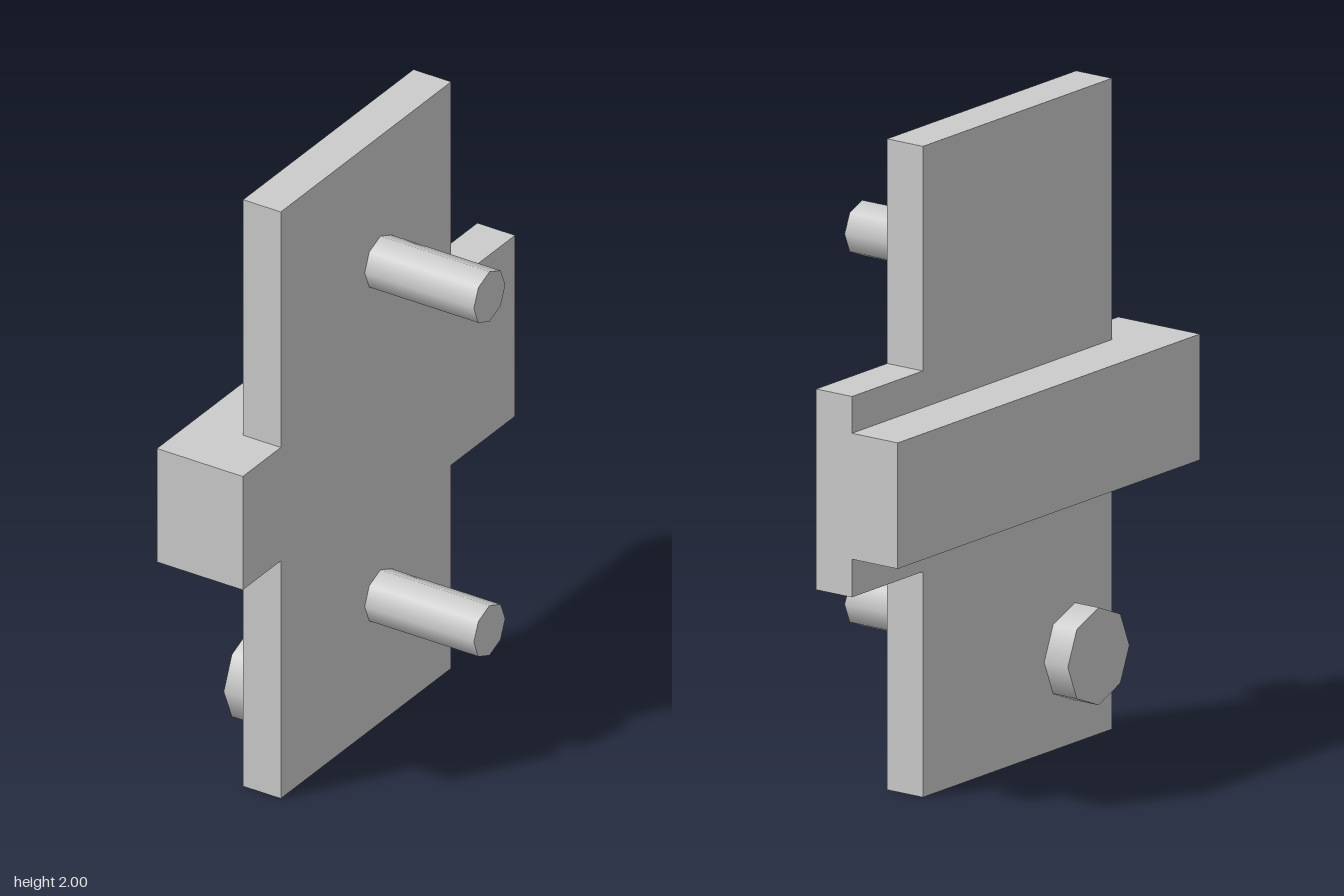
import * as THREE from 'three';

const material = new THREE.MeshStandardMaterial({ color: 0xcccccc });

function add(group, name, geometry, x = 0, y = 0, z = 0) {
  const mesh = new THREE.Mesh(geometry, material);
  mesh.name = name;
  mesh.position.set(x, y, z);
  group.add(mesh);
}

// Eight-sided cylinder lying along x, starting at x0 and ending at x1
function addPin(group, name, radius, x0, x1, y, z) {
  const geometry = new THREE.CylinderGeometry(radius, radius, x1 - x0, 8);
  geometry.rotateZ(-Math.PI / 2);
  add(group, name, geometry, (x0 + x1) / 2, y, z);
}

export function createModel() {
  const group = new THREE.Group();
  group.name = 'bracketPlate';
  const outer = -0.345, back = -0.175, face = -0.042, tip = 0.343;

  // Upright plate with a wide rear tab and a narrow front tab, as [z, y]
  const outline = [
    [0.53, 0], [0.53, 0.81], [0.735, 0.81], [0.735, 1.197], [0.53, 1.197], [0.53, 2],
    [-0.39, 2], [-0.39, 1.31], [-0.735, 1.31], [-0.735, 0.693], [-0.39, 0.693], [-0.39, 0],
  ];
  const shape = new THREE.Shape(outline.map(([z, y]) => new THREE.Vector2(-z, y)));
  const plate = new THREE.ExtrudeGeometry(shape, { depth: face - back, bevelEnabled: false });
  plate.rotateY(Math.PI / 2);
  add(group, 'plate', plate, back);

  // Rail running the full depth across the plate
  add(group, 'crossRail', new THREE.BoxGeometry(back - outer, 0.387, 1.47), (outer + back) / 2, 1.0035, 0);

  // Two mounting pins and the round button on the opposite side
  addPin(group, 'upperPin', 0.085, face, tip, 1.573, -0.008);
  addPin(group, 'lowerPin', 0.085, face, tip, 0.435, -0.008);
  addPin(group, 'button', 0.15, -0.263, back, 0.28, 0.35);
  return group;
}
